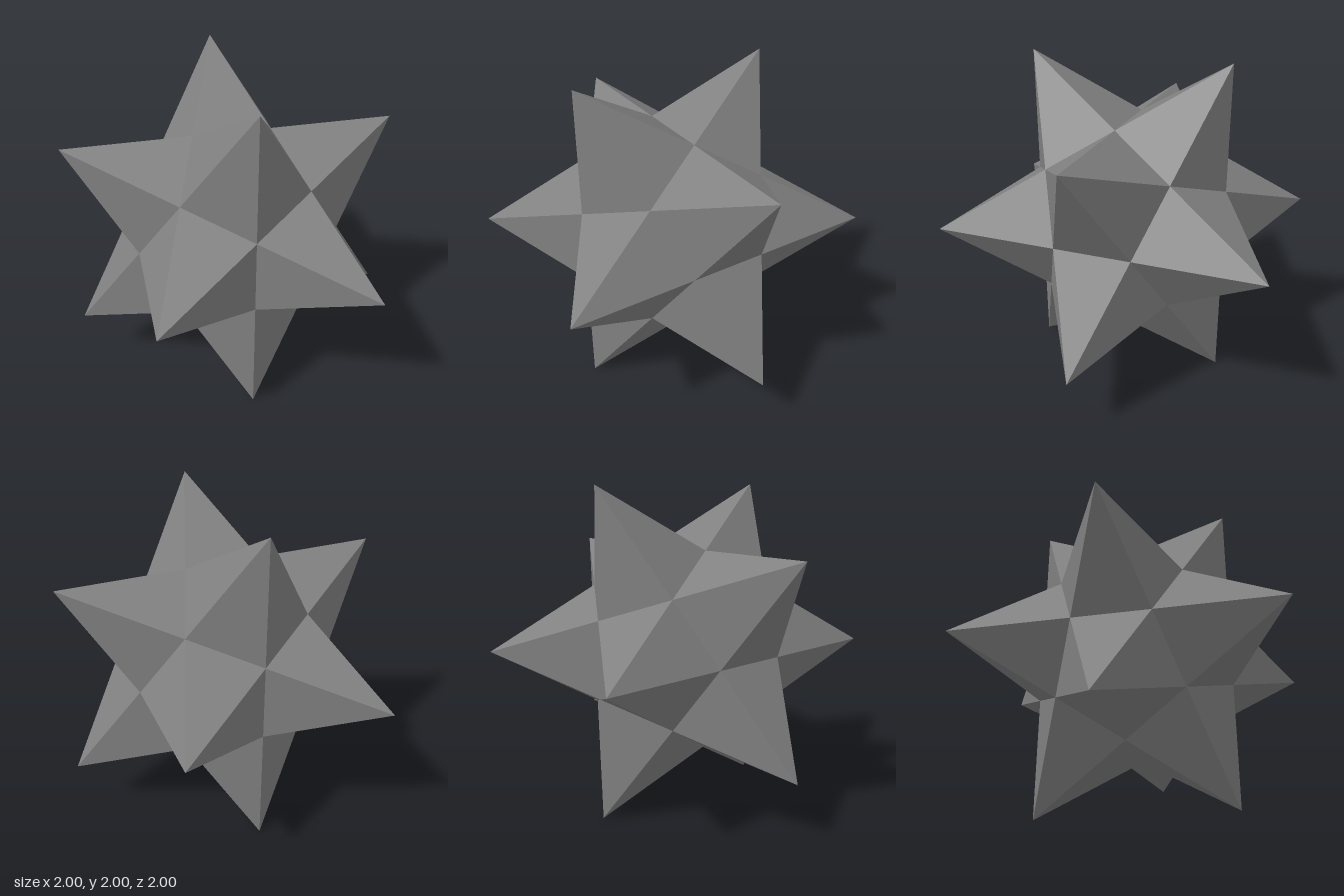
import * as THREE from 'three';

const K = (Math.sqrt(5) - 1) / 2; // inverse golden ratio

// All sign changes and cyclic permutations of (a, 0, b)
function goldenPoints(a, b) {
  const points = [];
  for (const p of [a, -a]) for (const q of [b, -b]) {
    points.push(new THREE.Vector3(p, 0, q), new THREE.Vector3(q, p, 0), new THREE.Vector3(0, q, p));
  }
  return points;
}

// Corners of the dodecahedral core
function coreCorners() {
  const corners = goldenPoints(K, K ** 3);
  const c = K * K;
  for (const x of [c, -c]) for (const y of [c, -c]) for (const z of [c, -c]) {
    corners.push(new THREE.Vector3(x, y, z));
  }
  return corners;
}

// Five-sided pyramid from a tip to the five nearest core corners
function spikeGeometry(tip, corners) {
  const n = tip.clone().normalize();
  const base = [...corners].sort((a, b) => a.distanceTo(tip) - b.distanceTo(tip)).slice(0, 5);
  // order the base counterclockwise around the spike's axis
  const u = base[0].clone().projectOnPlane(n).normalize();
  const w = n.clone().cross(u);
  const angle = (p) => Math.atan2(p.dot(w), p.dot(u));
  base.sort((a, b) => angle(a) - angle(b));

  const points = base.flatMap((p, i) => [tip, p, base[(i + 1) % 5]]);
  const geometry = new THREE.BufferGeometry().setFromPoints(points);
  geometry.computeVertexNormals();
  return geometry;
}

export function createModel() {
  const model = new THREE.Group();
  model.name = 'stellatedDodecahedron';
  const material = new THREE.MeshStandardMaterial({ color: 0x808080, flatShading: true });
  const corners = coreCorners();

  // Twelve spikes, one over each face of the core
  goldenPoints(K, 1).forEach((tip, i) => {
    const spike = new THREE.Mesh(spikeGeometry(tip, corners), material);
    spike.name = `spike${i + 1}`;
    spike.position.y = 1;
    model.add(spike);
  });
  return model;
}
